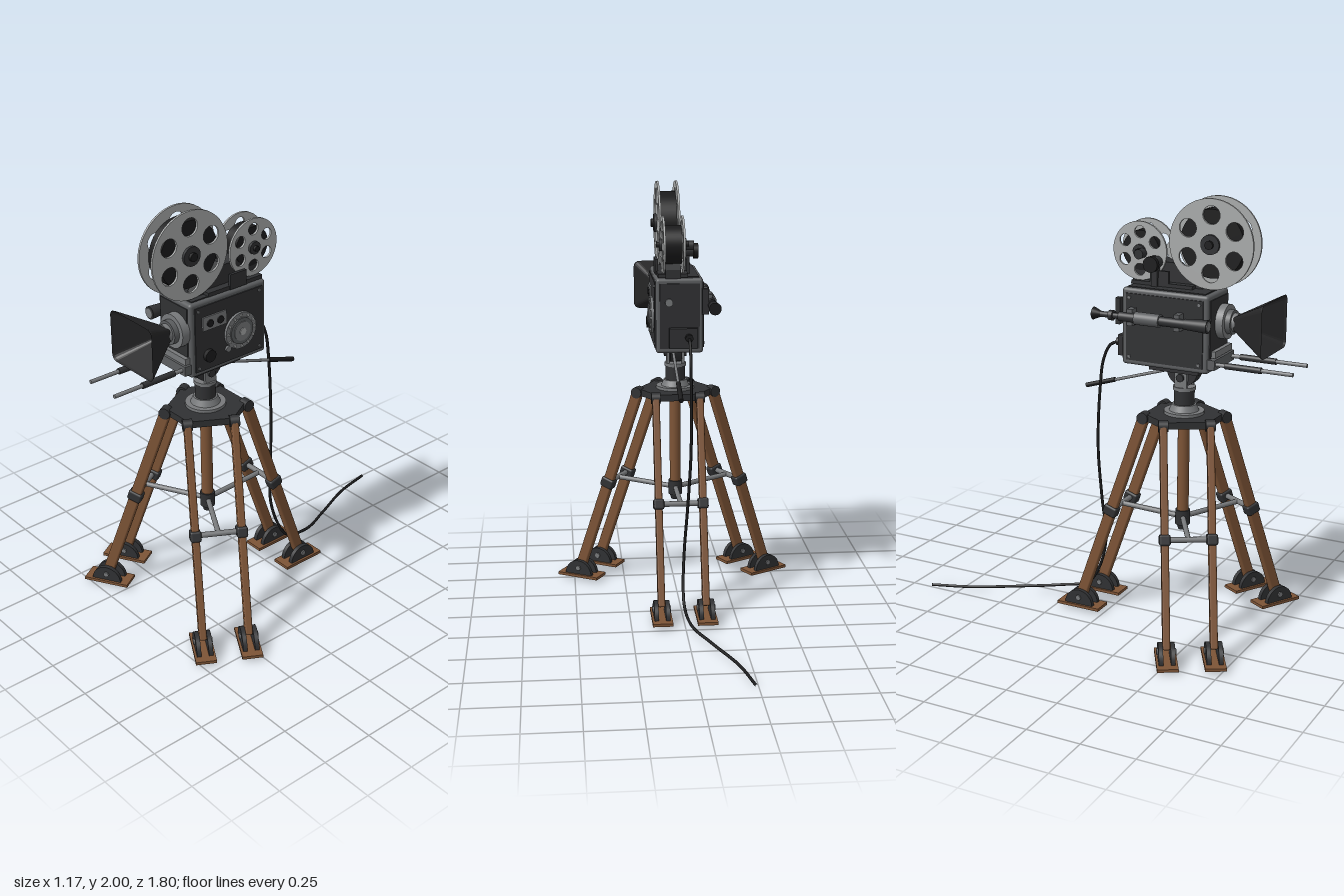
import * as THREE from 'three';
import { RoundedBoxGeometry } from 'three/addons/geometries/RoundedBoxGeometry.js';

const mat = (name, color, side = THREE.FrontSide) => {
  const m = new THREE.MeshStandardMaterial({ color, side });
  m.name = name;
  return m;
};

export function createModel() {
  const root = new THREE.Group();
  root.name = 'filmCameraOnTripod';
  const wood = mat('wood', 0x7d5436), dark = mat('darkMetal', 0x303133), black = mat('black', 0x1b1b1c);
  const steel = mat('steel', 0x77797b), silver = mat('silver', 0xa9abab), frame = mat('frameGrey', 0x5c5e60);
  const hood = mat('hoodBlack', 0x252526, THREE.DoubleSide);

  const add = (parent, name, geo, material, x = 0, y = 0, z = 0) => {
    const m = new THREE.Mesh(geo, material);
    m.name = name;
    m.position.set(x, y, z);
    parent.add(m);
    return m;
  };
  const box = (p, name, w, h, d, m, x, y, z) => add(p, name, new THREE.BoxGeometry(w, h, d), m, x, y, z);
  // Cylinder along a chosen axis, r2 is the radius at the negative end
  const cyl = (p, name, axis, r, len, m, x, y, z, r2 = r, sides = 32) => {
    const g = new THREE.CylinderGeometry(r, r2, len, sides);
    if (axis === 'x') g.rotateZ(-Math.PI / 2);
    if (axis === 'z') g.rotateX(Math.PI / 2);
    return add(p, name, g, m, x, y, z);
  };
  const rod = (p, name, a, b, r, m) => {
    const A = new THREE.Vector3(...a), B = new THREE.Vector3(...b), d = B.clone().sub(A);
    const o = cyl(p, name, 'y', r, d.length(), m, ...A.clone().add(B).multiplyScalar(0.5).toArray(), r, 16);
    o.quaternion.setFromUnitVectors(new THREE.Vector3(0, 1, 0), d.normalize());
    return o;
  };
  // Shape drawn in (-z, y), given thickness along x
  const slab = (shape, t) => new THREE.ExtrudeGeometry(shape, { depth: t, bevelEnabled: false, curveSegments: 24 })
    .translate(0, 0, -t / 2).rotateY(Math.PI / 2);

  // ---------- Tripod ----------
  const tripod = new THREE.Group();
  tripod.name = 'tripod';
  tripod.position.z = 0.35;
  root.add(tripod);
  const half = new THREE.Shape();
  half.absarc(0, 0, 0.072, 0, Math.PI);
  half.closePath();
  const cheekGeo = slab(half, 0.02);
  const run = 0.325, drop = 0.93, tilt = -Math.atan2(run, drop);
  const collarZ = 0.15 + run * (1 - 0.525) / drop;

  for (const angle of [Math.PI / 3, Math.PI, -Math.PI / 3]) {
    const pair = new THREE.Group();
    pair.name = 'legPair';
    pair.rotation.y = angle;
    tripod.add(pair);
    for (const s of [-1, 1]) {
      const x = s * 0.105;
      const leg = add(pair, 'leg', new RoundedBoxGeometry(0.034, Math.hypot(run, drop), 0.052, 2, 0.008), wood, x, 0.535, 0.3125);
      leg.rotation.x = tilt;
      cyl(pair, 'legHinge', 'x', 0.027, 0.044, dark, x, 1.0, 0.15);
      add(pair, 'legCollar', new RoundedBoxGeometry(0.05, 0.05, 0.068, 2, 0.01), dark, x, 0.525, collarZ).rotation.x = tilt;
      box(pair, 'footPlate', 0.095, 0.014, 0.22, wood, x, 0.022, 0.475);
      for (const c of [-1, 1]) {
        add(pair, 'footCheek', cheekGeo, dark, x + c * 0.027, 0.028, 0.475);
        cyl(pair, 'footBolt', 'x', 0.014, 0.008, steel, x + c * 0.04, 0.062, 0.475, 0.014, 6);
      }
    }
    rod(pair, 'crossBar', [-0.105, 0.525, collarZ], [0.105, 0.525, collarZ], 0.013, steel);
    rod(pair, 'spreaderArm', [0, 0.515, 0.02], [0, 0.525, collarZ], 0.012, steel);
  }
  // Truncated triangular top plate
  const plate = new THREE.Shape();
  for (const a of [Math.PI / 3, Math.PI, -Math.PI / 3]) for (const s of [1, -1]) {
    const x = Math.sin(a) * 0.155 - s * Math.cos(a) * 0.1, z = Math.cos(a) * 0.155 + s * Math.sin(a) * 0.1;
    plate.curves.length || plate.currentPoint.lengthSq() ? plate.lineTo(x, z) : plate.moveTo(x, z);
  }
  plate.closePath();
  add(tripod, 'topPlate', new THREE.ExtrudeGeometry(plate, { depth: 0.032, bevelEnabled: false }).rotateX(Math.PI / 2), dark, 0, 1.017, 0);
  cyl(tripod, 'centreColumn', 'y', 0.027, 0.47, wood, 0, 0.765, 0);
  cyl(tripod, 'columnHub', 'y', 0.034, 0.07, dark, 0, 0.515, 0);
  cyl(tripod, 'columnTip', 'y', 0.03, 0.03, dark, 0, 0.47, 0, 0.02);
  cyl(tripod, 'baseRing', 'y', 0.092, 0.014, steel, 0, 1.024, 0);
  cyl(tripod, 'baseStep', 'y', 0.055, 0.03, steel, 0, 1.045, 0, 0.068);
  cyl(tripod, 'headNeck', 'y', 0.047, 0.08, dark, 0, 1.09, 0);
  cyl(tripod, 'headFlange', 'y', 0.052, 0.016, steel, 0, 1.135, 0);
  cyl(tripod, 'tiltDisc', 'x', 0.075, 0.055, dark, 0, 1.222, 0);
  for (const s of [-1, 1]) {
    box(tripod, 'headCheek', 0.013, 0.09, 0.06, steel, s * 0.036, 1.18, 0);
    cyl(tripod, 'tiltBolt', 'x', 0.018, 0.014, dark, s * 0.047, 1.19, 0);
  }
  box(tripod, 'mountPlate', 0.15, 0.022, 0.24, dark, 0, 1.23, -0.02);
  rod(root, 'panHandle', [0.015, 1.215, 0.3], [0.015, 1.1, -0.07], 0.007, steel);
  rod(root, 'panGrip', [0.015, 1.12, -0.01], [0.015, 1.073, -0.16], 0.011, black);

  // ---------- Camera body ----------
  const body = new THREE.Group();
  body.name = 'cameraBody';
  root.add(body);
  add(body, 'bodyShell', new RoundedBoxGeometry(0.22, 0.35, 0.42, 3, 0.014), frame, 0, 1.415, 0.3);
  for (const s of [-1, 1]) {
    box(body, 'sidePanel', 0.008, 0.305, 0.375, dark, s * 0.111, 1.415, 0.3);
    box(body, 'endPanel', 0.185, 0.305, 0.008, dark, 0, 1.415, 0.3 + s * 0.211);
    for (const y of [1.28, 1.55]) for (const z of [0.13, 0.47])
      cyl(body, 'panelScrew', 'x', 0.007, 0.006, steel, s * 0.117, y, z, 0.007, 10);
  }
  box(body, 'roofPanel', 0.185, 0.008, 0.375, dark, 0, 1.591, 0.3);
  // Controls on the left side
  box(body, 'gaugePlate', 0.008, 0.064, 0.13, steel, 0.118, 1.485, 0.385);
  for (const z of [0.355, 0.412]) cyl(body, 'gauge', 'x', 0.017, 0.012, black, 0.121, 1.483, z);
  cyl(body, 'dialRim', 'x', 0.086, 0.014, steel, 0.12, 1.395, 0.243, 0.086, 24);
  cyl(body, 'dialFace', 'x', 0.062, 0.014, frame, 0.126, 1.395, 0.243);
  cyl(body, 'dialCore', 'x', 0.045, 0.014, steel, 0.13, 1.395, 0.243);
  cyl(body, 'dialHub', 'x', 0.016, 0.014, silver, 0.134, 1.395, 0.243);
  for (let i = 0; i < 12; i++) {
    const a = i * Math.PI / 6;
    cyl(body, 'dialStud', 'x', 0.007, 0.006, silver, 0.129, 1.395 + 0.074 * Math.sin(a), 0.243 + 0.074 * Math.cos(a), 0.007, 8);
  }
  cyl(body, 'smallKnob', 'x', 0.029, 0.022, black, 0.122, 1.33, 0.418, 0.029, 12);
  cyl(body, 'smallButton', 'x', 0.014, 0.014, steel, 0.118, 1.325, 0.312);
  // Rear connector
  box(body, 'connectorBox', 0.13, 0.095, 0.035, dark, -0.015, 1.315, 0.072);
  cyl(body, 'connector', 'z', 0.018, 0.03, black, -0.04, 1.32, 0.045);
  cyl(body, 'rearButton', 'z', 0.018, 0.016, steel, 0.05, 1.48, 0.08);

  // ---------- Lens and matte hood ----------
  const lx = 0.03, ly = 1.455;
  cyl(body, 'lensMount', 'z', 0.078, 0.04, steel, lx, ly, 0.53);
  cyl(body, 'lensBarrel', 'z', 0.055, 0.03, frame, lx, ly, 0.56);
  cyl(body, 'lensRing', 'z', 0.042, 0.03, steel, lx, ly, 0.582);
  const ring = (w, h, r, z) => {
    const pts = [];
    for (let k = 0; k < 4; k++) for (let i = 0; i <= 4; i++) {
      const a = k * Math.PI / 2 + i * Math.PI / 8;
      const sx = k === 0 || k === 3 ? 1 : -1, sy = k < 2 ? 1 : -1;
      pts.push([sx * (w / 2 - r) + r * Math.cos(a), sy * (h / 2 - r) + r * Math.sin(a), z]);
    }
    return pts;
  };
  const loops = [ring(0.075, 0.06, 0.01, 0.585), ring(0.28, 0.232, 0.025, 0.752), ring(0.288, 0.24, 0.028, 0.762)];
  const pos = [];
  for (let l = 0; l < 2; l++) for (let i = 0; i < 20; i++) {
    const j = (i + 1) % 20, [a, b, c, d] = [loops[l][i], loops[l][j], loops[l + 1][j], loops[l + 1][i]];
    pos.push(...a, ...b, ...c, ...a, ...c, ...d);
  }
  const hoodGeo = new THREE.BufferGeometry();
  hoodGeo.setAttribute('position', new THREE.Float32BufferAttribute(pos, 3));
  hoodGeo.computeVertexNormals();
  add(body, 'matteHood', hoodGeo, hood, lx, ly, 0);
  box(body, 'hoodBack', 0.072, 0.057, 0.006, hood, lx, ly, 0.6);
  box(body, 'lensGate', 0.03, 0.03, 0.006, silver, lx, ly, 0.606);

  // ---------- Support rods ----------
  for (const x of [-0.085, 0.085]) {
    cyl(body, 'supportRod', 'z', 0.009, 0.42, steel, x, 1.285, 0.69);
    cyl(body, 'rodSleeve', 'z', 0.014, 0.17, dark, x, 1.285, 0.67);
  }
  box(body, 'rodBracket', 0.215, 0.045, 0.035, frame, 0, 1.285, 0.525);
  box(body, 'rodBracketCap', 0.18, 0.03, 0.025, steel, 0.01, 1.325, 0.522);

  // ---------- Viewfinder on the right side ----------
  const finder = new THREE.Group();
  finder.name = 'viewfinder';
  root.add(finder);
  const vf = (name, r, z0, z1, m, r2 = r) => cyl(finder, name, 'z', r, z1 - z0, m, -0.152, 1.468, (z0 + z1) / 2, r2);
  vf('eyecup', 0.012, -0.03, 0.01, black, 0.029);
  vf('eyeTube', 0.013, 0.0, 0.12, dark);
  vf('eyeRing', 0.023, 0.05, 0.07, dark);
  vf('finderTube', 0.021, 0.1, 0.44, dark);
  vf('finderBarrel', 0.029, 0.18, 0.3, frame);
  vf('finderFront', 0.03, 0.42, 0.53, dark, 0.024);
  vf('finderGlass', 0.022, 0.528, 0.533, steel);
  for (const z of [0.15, 0.38]) box(finder, 'finderBracket', 0.05, 0.075, 0.028, frame, -0.132, 1.468, z);
  box(finder, 'rearBracket', 0.03, 0.12, 0.022, dark, -0.118, 1.485, 0.08);

  // ---------- Reels ----------
  const reel = (name, R, filmR, y, z) => {
    const g = new THREE.Group();
    g.name = name;
    g.position.set(0.03, y, z);
    root.add(g);
    const s = new THREE.Shape();
    s.absarc(0, 0, R, 0, Math.PI * 2);
    for (let i = 0; i < 6; i++) {
      const a = Math.PI / 6 + i * Math.PI / 3, h = new THREE.Path();
      h.absarc(0.64 * R * Math.cos(a), 0.64 * R * Math.sin(a), 0.205 * R, 0, Math.PI * 2, true);
      s.holes.push(h);
    }
    const flange = slab(s, 0.01);
    for (const d of [-1, 1]) {
      add(g, 'reelFlange', flange, silver, d * 0.045, 0, 0);
      cyl(g, 'reelHub', 'x', 0.22 * R, 0.016, dark, d * 0.055, 0, 0);
      cyl(g, 'reelNut', 'x', 0.1 * R, 0.016, black, d * 0.068, 0, 0, 0.1 * R, 8);
    }
    cyl(g, 'filmRoll', 'x', filmR, 0.078, black, 0, 0, 0, filmR, 48);
  };
  reel('supplyReel', 0.2, 0.152, 1.8, 0.476);
  reel('takeUpReel', 0.132, 0.09, 1.742, 0.132);

  // Reel support rising from the roof between the reels
  const sup = new THREE.Shape([[-0.44, 1.59], [-0.09, 1.59], [-0.09, 1.63], [-0.13, 1.75], [-0.25, 1.7], [-0.29, 1.7], [-0.4, 1.62]]
    .map(p => new THREE.Vector2(...p)));
  add(root, 'reelSupport', slab(sup, 0.07), dark, 0.03, 0, 0);
  box(root, 'supportBase', 0.14, 0.018, 0.3, dark, 0.03, 1.602, 0.25);
  for (const x of [-0.035, 0.1]) box(root, 'supportRib', 0.014, 0.07, 0.09, dark, x, 1.63, 0.24);

  // Drive motor beside the reels
  cyl(root, 'driveMotor', 'x', 0.026, 0.07, dark, -0.045, 1.7, 0.22);
  cyl(root, 'driveKnob', 'x', 0.036, 0.022, black, -0.085, 1.7, 0.22, 0.036, 12);
  cyl(root, 'driveKnobSmall', 'x', 0.022, 0.04, dark, -0.05, 1.735, 0.15);
  box(root, 'driveFoot', 0.03, 0.1, 0.03, dark, -0.04, 1.64, 0.22);

  // ---------- Power cable ----------
  const path = [[-0.04, 1.32, 0.06], [-0.04, 1.305, 0.0], [-0.04, 1.23, -0.04], [-0.04, 1.08, -0.06], [-0.038, 0.8, -0.072],
    [-0.025, 0.55, -0.06], [-0.01, 0.33, -0.046], [0, 0.17, -0.09], [0, 0.085, -0.15], [-0.02, 0.045, -0.3],
    [-0.095, 0.03, -0.48], [-0.19, 0.018, -0.7], [-0.24, 0.008, -0.9]].map(p => new THREE.Vector3(...p));
  add(root, 'powerCable', new THREE.TubeGeometry(new THREE.CatmullRomCurve3(path), 90, 0.007, 8), black);
  return root;
}
